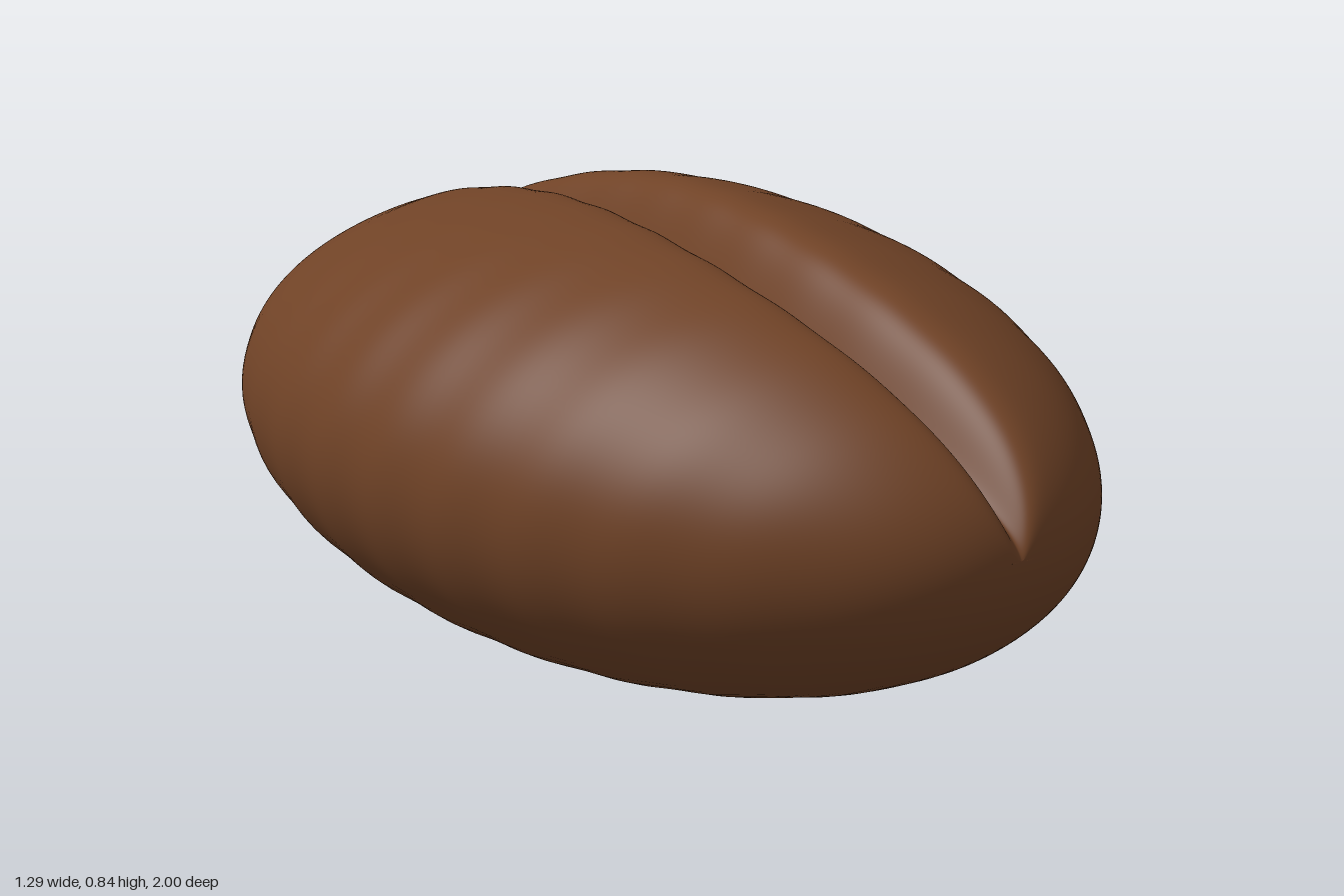
import * as THREE from 'three';
import { mergeVertices } from 'three/addons/utils/BufferGeometryUtils.js';

const HALF_WIDTH = 0.64, HALF_HEIGHT = 0.427;

// Maps sphere parameters to the bean: u runs around the long axis, v from front tip to back tip
function beanPoint(u, v, target) {
  const p = 2 * u - 1;
  const a = Math.PI * (0.25 * p + 0.75 * p ** 3); // angle from the top, denser near the crease
  const z = Math.cos(Math.PI * v);
  const s = Math.sin(Math.PI * v);

  // Egg-shaped body, broader at the back, with faint slanted ripples in the skin
  const ripple = 1 + 0.003 * s * Math.sin(36 * z + 3 * a);
  let x = -HALF_WIDTH * (1 - 0.09 * z) * s * Math.sin(a) * ripple;
  let y = HALF_HEIGHT * (1 + s * Math.cos(a) * ripple);

  // Crease pressed into the top, fading toward the tips
  if (Math.abs(a) < Math.PI / 2 && s > 1e-4) {
    const d = Math.abs(x) / (0.062 * Math.sqrt(s));
    y -= 0.205 * s ** 0.8 * Math.exp(-(d ** 1.6));
  }

  // S-shaped wander of the crease
  const wander = (-0.038 * Math.sin(Math.PI * z) - 0.008 * s) * Math.sqrt(s);
  x += wander * Math.exp(-((a / 0.6) ** 2));
  return target.set(x, y, z);
}

export function createModel() {
  const roast = new THREE.MeshStandardMaterial({ color: 0x6f4226 });
  roast.name = 'roastedBrown';

  let geometry = new THREE.SphereGeometry(1, 180, 140);
  const { position, uv } = geometry.attributes;
  const point = new THREE.Vector3();
  for (let i = 0; i < position.count; i++) {
    beanPoint(uv.getX(i), 1 - uv.getY(i), point);
    position.setXYZ(i, point.x, point.y, point.z);
  }

  // Join the seam so that the skin is smooth all round
  geometry.deleteAttribute('uv');
  geometry.deleteAttribute('normal');
  geometry = mergeVertices(geometry, 1e-5);
  geometry.computeVertexNormals();

  const bean = new THREE.Mesh(geometry, roast);
  bean.name = 'beanBody';
  const group = new THREE.Group();
  group.name = 'coffeeBean';
  group.add(bean);
  return group;
}
